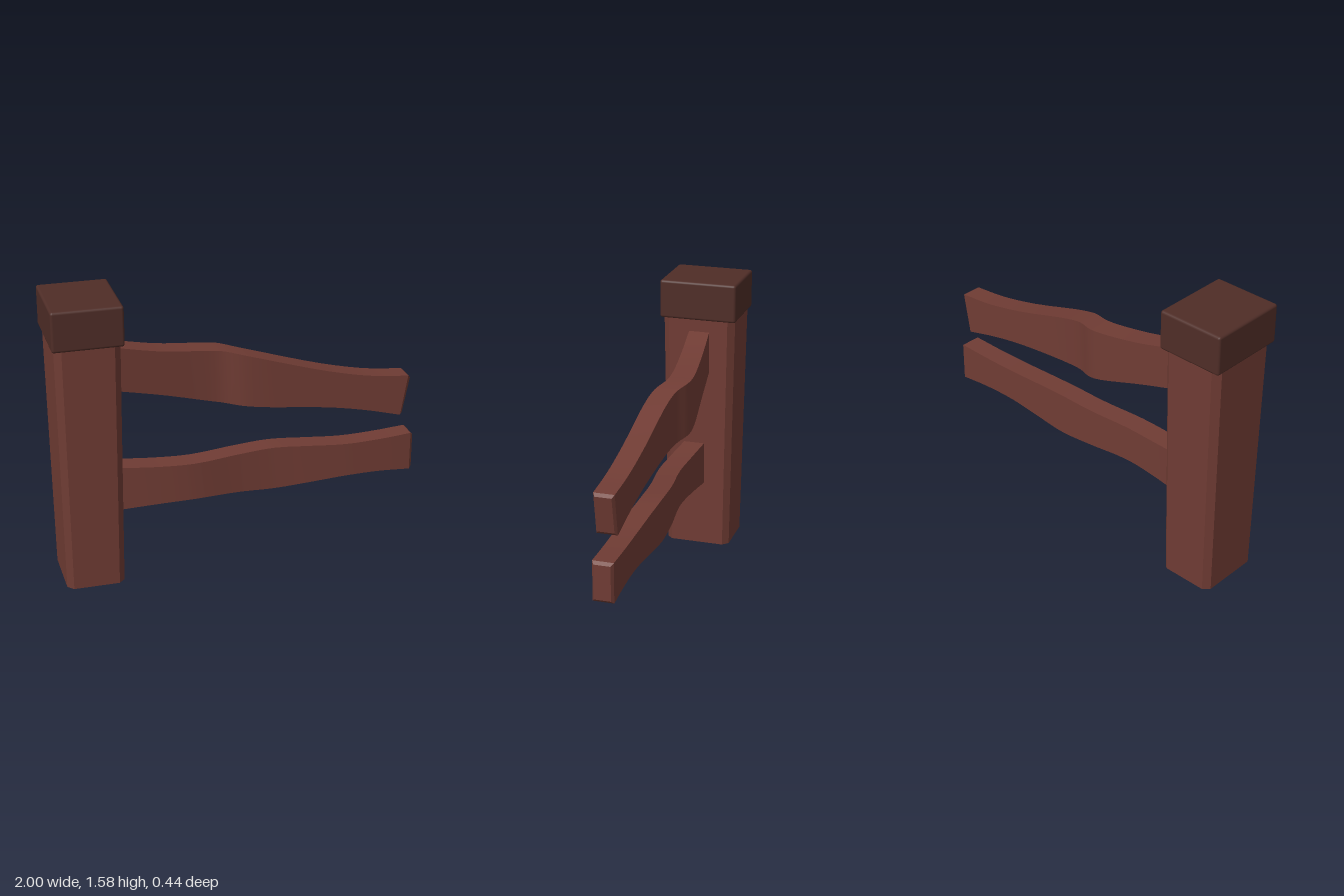
import * as THREE from 'three';
import { toCreasedNormals } from 'three/addons/utils/BufferGeometryUtils.js';
import { RoundedBoxGeometry } from 'three/addons/geometries/RoundedBoxGeometry.js';

const wood = new THREE.MeshStandardMaterial({ color: 0x703c34 });
const darkWood = new THREE.MeshStandardMaterial({ color: 0x4f2d27 });
const POST_X = -0.815;

function part(name, geometry, material) {
  const mesh = new THREE.Mesh(geometry, material);
  mesh.name = name;
  return mesh;
}

// Chamfered post that widens slightly towards the top
function postGeometry() {
  const w = 0.155, d = 0.185, c = 0.032, h = 1.38;
  const shape = new THREE.Shape([
    [w - c, -d], [w, -d + c], [w, d - c], [w - c, d],
    [-w + c, d], [-w, d - c], [-w, -d + c], [-w + c, -d],
  ].map(([x, y]) => new THREE.Vector2(x, y)));
  const g = new THREE.ExtrudeGeometry(shape, { depth: h, bevelEnabled: false });
  g.rotateX(-Math.PI / 2);
  const p = g.attributes.position;
  for (let i = 0; i < p.count; i++) {
    const t = p.getY(i) / h;
    p.setX(i, p.getX(i) * (1 + 0.1 * t));
    p.setZ(i, p.getZ(i) * (1 + 0.11 * t));
  }
  g.computeVertexNormals();
  return g;
}

// Warped plank: rectangular sections between a top and a bottom curve.
// Rows are [top x, top y, bottom x, bottom y, centre z, half thickness].
function railGeometry(rows, steps = 28) {
  const curve = (f) => new THREE.CatmullRomCurve3(rows.map(f), false, 'centripetal');
  const top = curve((r) => new THREE.Vector3(r[0], r[1], r[4]));
  const bottom = curve((r) => new THREE.Vector3(r[2], r[3], r[4]));
  const half = curve((r) => new THREE.Vector3(r[0], r[5], 0));
  const pos = [], idx = [];
  const ring = (a, b, h) => pos.push(
    a.x, a.y, a.z + h, a.x, a.y, a.z - h, b.x, b.y, b.z - h, b.x, b.y, b.z + h);
  for (let i = 0; i <= steps; i++) {
    const t = i / steps;
    ring(top.getPoint(t), bottom.getPoint(t), half.getPoint(t).y);
  }
  // Small bevel at the free end
  const a = top.getPoint(1), b = bottom.getPoint(1);
  a.x += 0.015; b.x += 0.015;
  a.y -= 0.015; b.y += 0.015;
  ring(a, b, half.getPoint(1).y - 0.012);
  const last = steps + 1;
  for (let i = 0; i < last; i++) {
    for (let k = 0; k < 4; k++) {
      const p = i * 4 + k, q = i * 4 + (k + 1) % 4;
      idx.push(p, p + 4, q, q, p + 4, q + 4);
    }
  }
  const e = last * 4;
  idx.push(0, 1, 2, 0, 2, 3, e, e + 2, e + 1, e, e + 3, e + 2);
  const g = new THREE.BufferGeometry();
  g.setAttribute('position', new THREE.Float32BufferAttribute(pos, 3));
  g.setIndex(idx);
  return toCreasedNormals(g, 0.5);
}

export function createModel() {
  const model = new THREE.Group();
  model.name = 'fenceEnd';

  const post = part('post', postGeometry(), wood);
  post.position.x = POST_X;
  model.add(post);

  const cap = part('postCap', new RoundedBoxGeometry(0.37, 0.215, 0.436, 2, 0.014), darkWood);
  cap.position.set(POST_X, 1.4675, 0);
  model.add(cap);

  model.add(part('upperRail', railGeometry([
    [-0.68, 1.3, -0.68, 1.06, -0.003, 0.058],
    [-0.4, 1.235, -0.4, 0.99, -0.036, 0.06],
    [-0.15, 1.202, -0.15, 0.918, -0.062, 0.062],
    [-0.07, 1.193, -0.07, 0.9, -0.058, 0.062],
    [0.03, 1.173, 0.03, 0.883, -0.023, 0.06],
    [0.15, 1.14, 0.15, 0.867, -0.008, 0.059],
    [0.5, 1.035, 0.5, 0.825, -0.004, 0.057],
    [0.75, 0.98, 0.72, 0.782, -0.003, 0.056],
    [0.956, 0.958, 0.918, 0.73, -0.003, 0.055],
  ]), wood));

  model.add(part('lowerRail', railGeometry([
    [-0.68, 0.627, -0.68, 0.378, 0.017, 0.059],
    [-0.45, 0.613, -0.45, 0.394, 0.035, 0.06],
    [-0.25, 0.609, -0.25, 0.4, 0.041, 0.06],
    [0, 0.618, 0, 0.393, 0.012, 0.059],
    [0.2, 0.626, 0.2, 0.383, 0.002, 0.058],
    [0.4, 0.614, 0.4, 0.395, 0.007, 0.058],
    [0.6, 0.601, 0.6, 0.409, 0.011, 0.058],
    [0.8, 0.603, 0.8, 0.409, 0.005, 0.057],
    [0.985, 0.613, 0.985, 0.395, -0.003, 0.056],
  ]), wood));

  return model;
}
